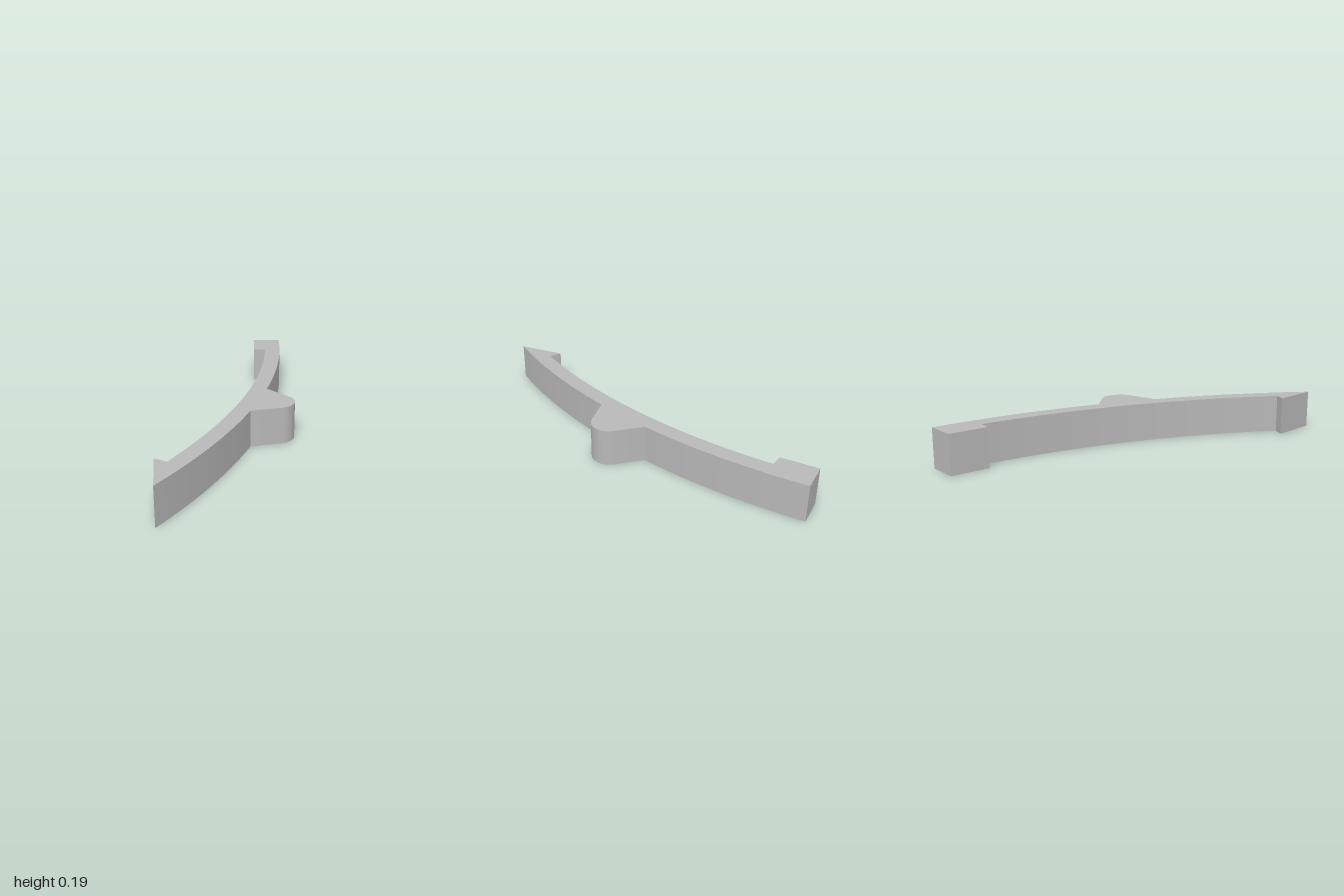
import * as THREE from 'three';
import { toCreasedNormals } from 'three/addons/utils/BufferGeometryUtils.js';

export function createModel() {
  const group = new THREE.Group();
  group.name = 'curvedBracket';
  const grey = new THREE.MeshStandardMaterial({ color: 0xb8b8b8 });
  grey.name = 'plain grey';

  // Plan outline: two concentric arcs, a rounded nose and hooked ends
  const height = 0.19, centre = -3.243, outerR = 3.303, innerR = 3.218;
  const end = Math.asin(1 / outerR);
  const noseStart = Math.asin(0.155 / outerR);
  const hookStart = Math.asin(0.785 / innerR);
  const noseR = 0.09, noseX = 0.238 - noseR, noseAngle = 1.065;

  const outline = new THREE.Shape();
  outline.moveTo(-0.24, -0.953);
  outline.absarc(centre, 0, outerR, -end, -noseStart, false);
  outline.absarc(noseX, 0, noseR, -noseAngle, noseAngle, false);
  outline.absarc(centre, 0, outerR, noseStart, end, false);
  outline.lineTo(-0.24, 0.953);
  outline.lineTo(-0.187, 0.772);
  outline.absarc(centre, 0, innerR, hookStart, -hookStart, true);
  outline.lineTo(-0.187, -0.772);
  outline.closePath();

  // Raise the outline into a solid standing on the ground
  const solid = new THREE.ExtrudeGeometry(outline, {
    depth: height, bevelEnabled: false, curveSegments: 24,
  });
  solid.rotateX(-Math.PI / 2);
  const body = new THREE.Mesh(toCreasedNormals(solid, 0.3), grey);
  body.name = 'bracketBody';
  group.add(body);
  return group;
}
